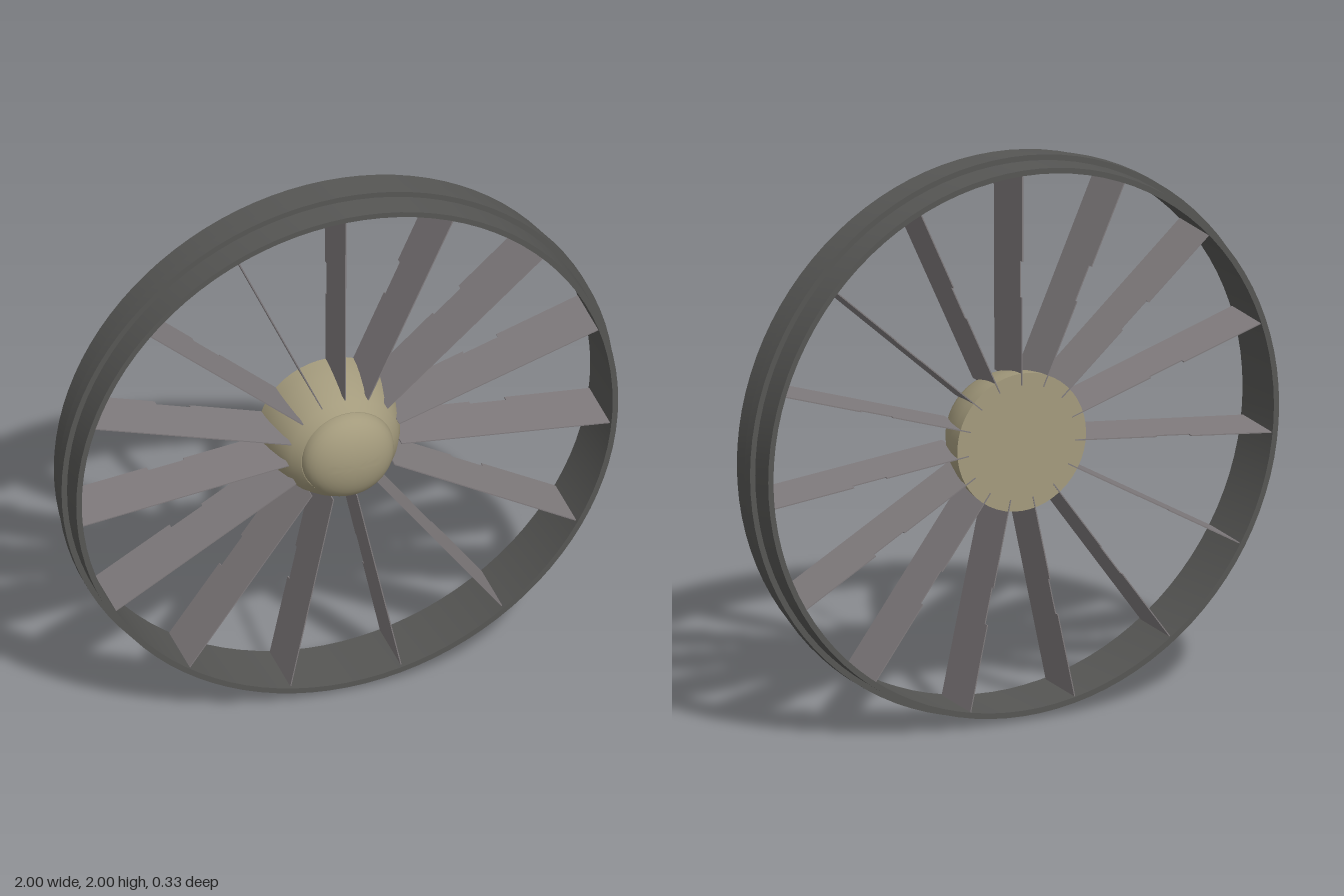
import * as THREE from 'three';
import { toCreasedNormals } from 'three/addons/utils/BufferGeometryUtils.js';

const BLADES = 15;

// Revolve [radius, z] points around the z axis, keeping sharp edges
function revolve(points, segments, material, name) {
  const profile = points.map(([r, z]) => new THREE.Vector2(r, z));
  const geometry = new THREE.LatheGeometry(profile, segments).rotateX(Math.PI / 2);
  const mesh = new THREE.Mesh(toCreasedNormals(geometry, Math.PI / 6), material);
  mesh.name = name;
  return mesh;
}

export function createModel() {
  const model = new THREE.Group();
  model.name = 'fanWheel';
  const wheel = new THREE.Group();
  wheel.name = 'wheel';
  wheel.position.y = 1;
  model.add(wheel);

  const ringMaterial = new THREE.MeshStandardMaterial({ color: 0x565654 });
  const hubMaterial = new THREE.MeshStandardMaterial({ color: 0xa39a7c });
  const bladeMaterial = new THREE.MeshStandardMaterial({ color: 0x807b7d });

  // Outer ring with a raised central band
  wheel.add(revolve([
    [0.96, -0.167], [0.98, -0.167], [0.98, -0.069], [1, -0.069], [1, -0.027],
    [0.98, -0.027], [0.98, 0.07], [0.96, 0.07], [0.96, -0.167],
  ], 96, ringMaterial, 'outerRing'));

  // Hub body, flat at the back and curving in towards the front
  wheel.add(revolve([
    [0, -0.152], [0.247, -0.152], [0.243, -0.11], [0.235, -0.07], [0.217, -0.005],
    [0.194, 0.042], [0.167, 0.072], [0.15, 0.072], [0, 0.072],
  ], 48, hubMaterial, 'hub'));

  // Domed nose cap
  const dome = [[0, 0.06], [0.165, 0.06]];
  for (let i = 0; i <= 10; i++) {
    const a = (i / 10) * Math.PI / 2;
    dome.push([0.165 * Math.cos(a), 0.072 + 0.095 * Math.sin(a)]);
  }
  wheel.add(revolve(dome, 48, hubMaterial, 'noseCap'));

  // Thin blades lying along the axis, with a stepped rear edge
  const outline = new THREE.Shape([
    [0.05, 0.205], [0.056, 0.965], [-0.16, 0.965], [-0.16, 0.65], [-0.142, 0.65],
    [-0.142, 0.52], [-0.154, 0.52], [-0.154, 0.205],
  ].map(([z, r]) => new THREE.Vector2(-z, r)));
  const bladeGeometry = new THREE.ExtrudeGeometry(outline, { depth: 0.004, bevelEnabled: false })
    .translate(0, 0, -0.002)
    .rotateY(Math.PI / 2);
  const blades = new THREE.Group();
  blades.name = 'blades';
  for (let i = 0; i < BLADES; i++) {
    const blade = new THREE.Mesh(bladeGeometry, bladeMaterial);
    blade.name = 'blade';
    blade.rotation.z = (i / BLADES) * Math.PI * 2;
    blades.add(blade);
  }
  wheel.add(blades);

  return model;
}
